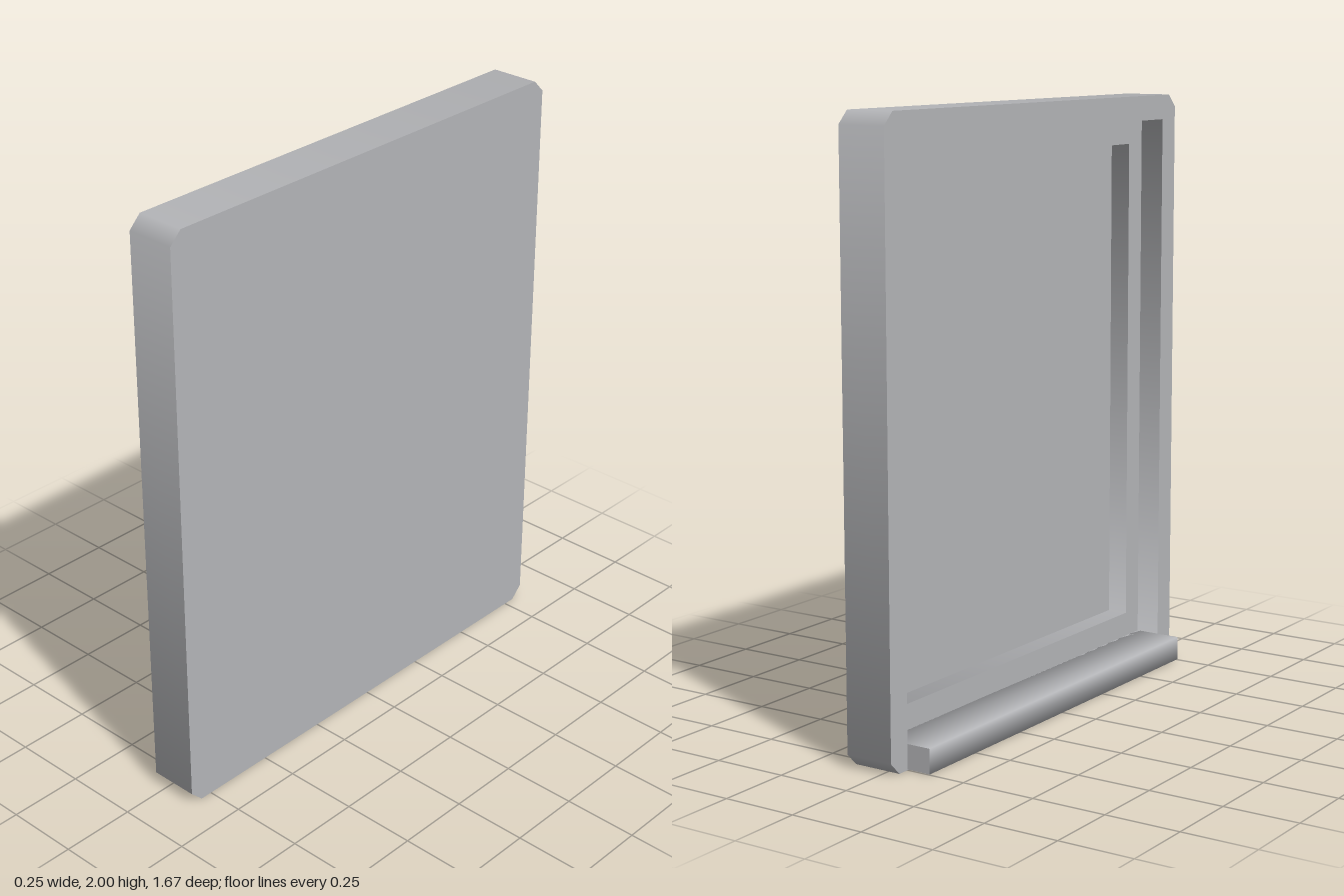
import * as THREE from 'three';

const U = 1 / 12; // one frame width

// Counter-clockwise rectangle with optional corner cuts
function outline(x0, y0, x1, y1, c = 0) {
  const pts = c
    ? [[x0 + c, y0], [x1 - c, y0], [x1, y0 + c], [x1, y1 - c], [x1 - c, y1], [x0 + c, y1], [x0, y1 - c], [x0, y0 + c]]
    : [[x0, y0], [x1, y0], [x1, y1], [x0, y1]];
  return pts.map(([x, y]) => new THREE.Vector2(x, y));
}

// Band around a loop from z0 to z1, with normals smoothed across its corners
function band(loop, z0, z1) {
  const n = loop.length, pos = [], nor = [], idx = [];
  const edgeNormal = (i) => {
    const d = loop[(i + 1) % n].clone().sub(loop[i % n]).normalize();
    return new THREE.Vector2(d.y, -d.x);
  };
  loop.forEach((p, i) => {
    const m = edgeNormal(i).add(edgeNormal(i + n - 1)).normalize();
    for (const z of [z0, z1]) {
      pos.push(p.x, p.y, z);
      nor.push(m.x, m.y, 0);
    }
    const a = 2 * i, b = 2 * ((i + 1) % n);
    idx.push(a, b, b + 1, a, b + 1, a + 1);
  });
  const g = new THREE.BufferGeometry();
  g.setAttribute('position', new THREE.Float32BufferAttribute(pos, 3));
  g.setAttribute('normal', new THREE.Float32BufferAttribute(nor, 3));
  g.setIndex(idx);
  return g;
}

// Flat face of a loop with an optional opening
function plate(loop, hole) {
  const s = new THREE.Shape(loop);
  if (hole) s.holes.push(new THREE.Path(hole));
  return new THREE.ShapeGeometry(s);
}

export function createModel() {
  const model = new THREE.Group();
  const grey = new THREE.MeshStandardMaterial({ color: 0xb4b5b8 });
  grey.name = 'light grey';

  const add = (name, geometry, parent) => {
    const mesh = new THREE.Mesh(geometry, grey);
    mesh.name = name;
    parent.add(mesh);
  };

  // Board: bevelled case with a stepped recess, open towards -x
  const board = new THREE.Group();
  board.name = 'board';
  model.add(board);
  const front = -U / 2, step = U / 2, panel = 0.112, back = 1.5 * U;
  const outer = outline(-10 * U, 0, 10 * U, 2, U / 2);
  const opening = outline(-9 * U, U, 9 * U, 2 - U);
  const inner = outline(-8 * U, 2 * U, 8 * U, 2 - 2 * U);
  const reversed = (loop) => [...loop].reverse();

  const walls = [
    ['caseSides', outer, front, back],
    ['openingWalls', reversed(opening), front, step],
    ['recessWalls', reversed(inner), step, panel],
  ];
  for (const [name, loop, a, b] of walls) add(name, band(loop, a, b).rotateY(Math.PI / 2), board);

  const faces = [
    ['frameFace', front, outer, opening],
    ['innerLedge', step, opening, inner],
    ['recessPanel', panel, inner],
  ];
  for (const [name, x, loop, hole] of faces) {
    add(name, plate(loop, hole).rotateY(-Math.PI / 2).translate(x, 0, 0), board);
  }
  add('backFace', plate(outer).rotateY(Math.PI / 2).translate(back, 0, 0), board);

  // Tray along the bottom of the opening
  const tray = new THREE.Group();
  tray.name = 'tray';
  model.add(tray);
  const profile = outline(-1.5 * U, 0, step, U);
  // The part inside the case stays just above its underside
  profile[0].y = profile[1].y = 0.002;
  add('trayBody', band(profile, -9 * U, 9 * U), tray);
  add('trayEndLeft', plate(profile).translate(0, 0, 9 * U), tray);
  add('trayEndRight', plate(profile).rotateY(Math.PI).scale(-1, 1, 1).translate(0, 0, -9 * U), tray);
  // Mirrored end needs its corner order turned back
  const end = tray.children[2].geometry;
  end.setIndex([...end.index.array].reverse());
  end.computeVertexNormals();

  return model;
}
